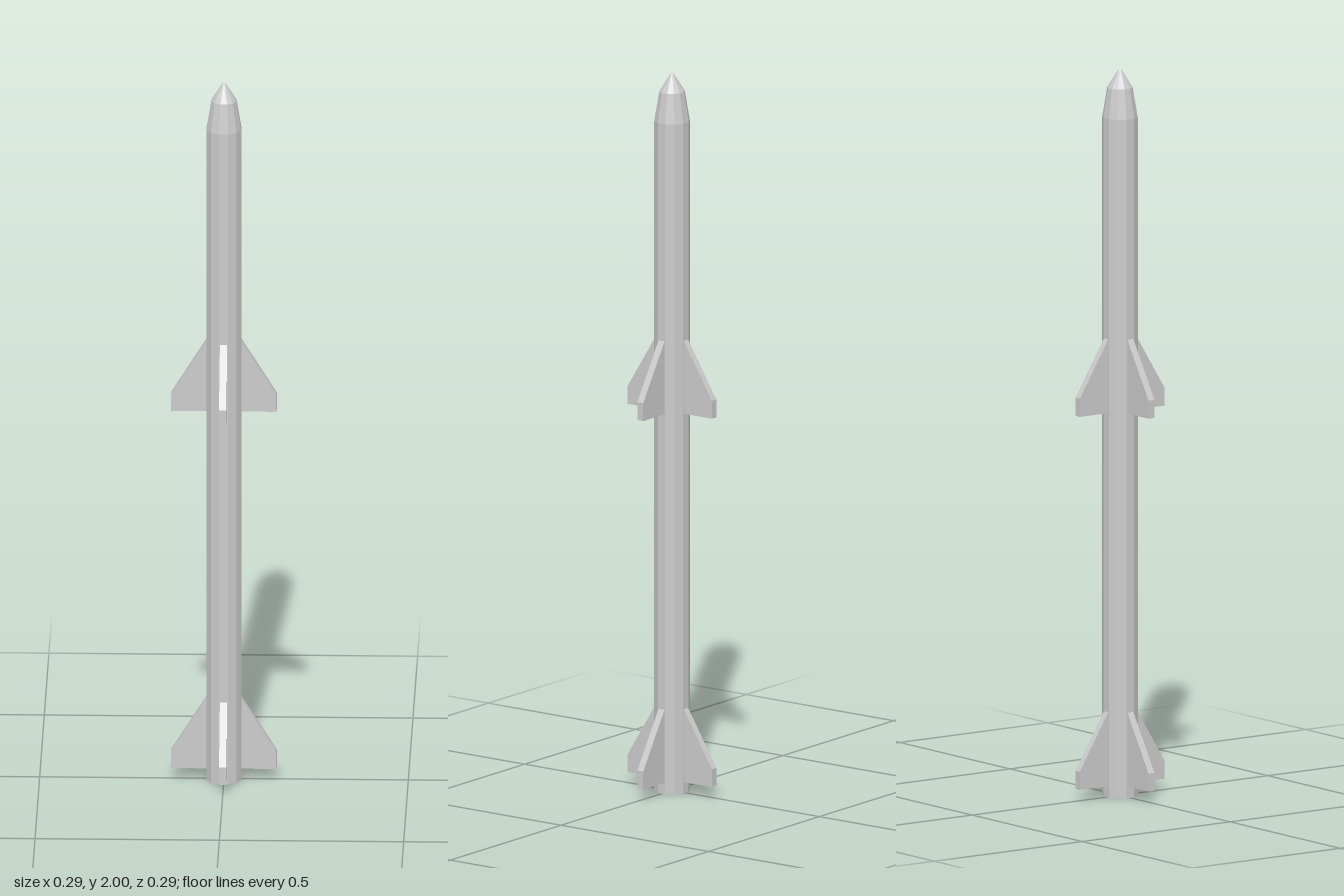
import * as THREE from 'three';

const R = 0.0488; // body corner radius (12 sides, flats facing the fins)
const SIDES = 12;
const material = new THREE.MeshStandardMaterial({ color: 0xcccccc, flatShading: true });

function lathe(name, points) {
  const profile = points.map(([r, y]) => new THREE.Vector2(r, y));
  const mesh = new THREE.Mesh(new THREE.LatheGeometry(profile, SIDES, Math.PI / SIDES), material);
  mesh.name = name;
  return mesh;
}

// One swept fin: root buried slightly in the body, vertical outer edge
function finGeometry() {
  const thickness = 0.02;
  const shape = new THREE.Shape();
  shape.moveTo(0.04, 0);
  shape.lineTo(0.143, 0);
  shape.lineTo(0.143, 0.05);
  shape.lineTo(0.047, 0.204);
  shape.lineTo(0.04, 0.204);
  shape.closePath();
  return new THREE.ExtrudeGeometry(shape, { depth: thickness, bevelEnabled: false })
    .translate(0, 0, -thickness / 2);
}

// Four fins around the body
function finSet(name, y, geometry) {
  const set = new THREE.Group();
  set.name = name;
  for (let i = 0; i < 4; i++) {
    const fin = new THREE.Mesh(geometry, material);
    fin.name = 'fin' + (i + 1);
    fin.rotation.y = i * Math.PI / 2;
    set.add(fin);
  }
  set.position.y = y;
  return set;
}

export function createModel() {
  const model = new THREE.Group();
  model.name = 'rocket';

  // Straight tube with a closed base
  model.add(lathe('body', [[0, 0], [R, 0], [R, 1.87]]));
  // Two-step tapered nose with a tiny flat tip
  model.add(lathe('nose', [[R, 1.87], [0.035, 1.952], [0.005, 2], [0, 2]]));

  const fin = finGeometry();
  model.add(finSet('tailFins', 0.032, fin));
  model.add(finSet('middleFins', 1.06, fin));
  return model;
}
